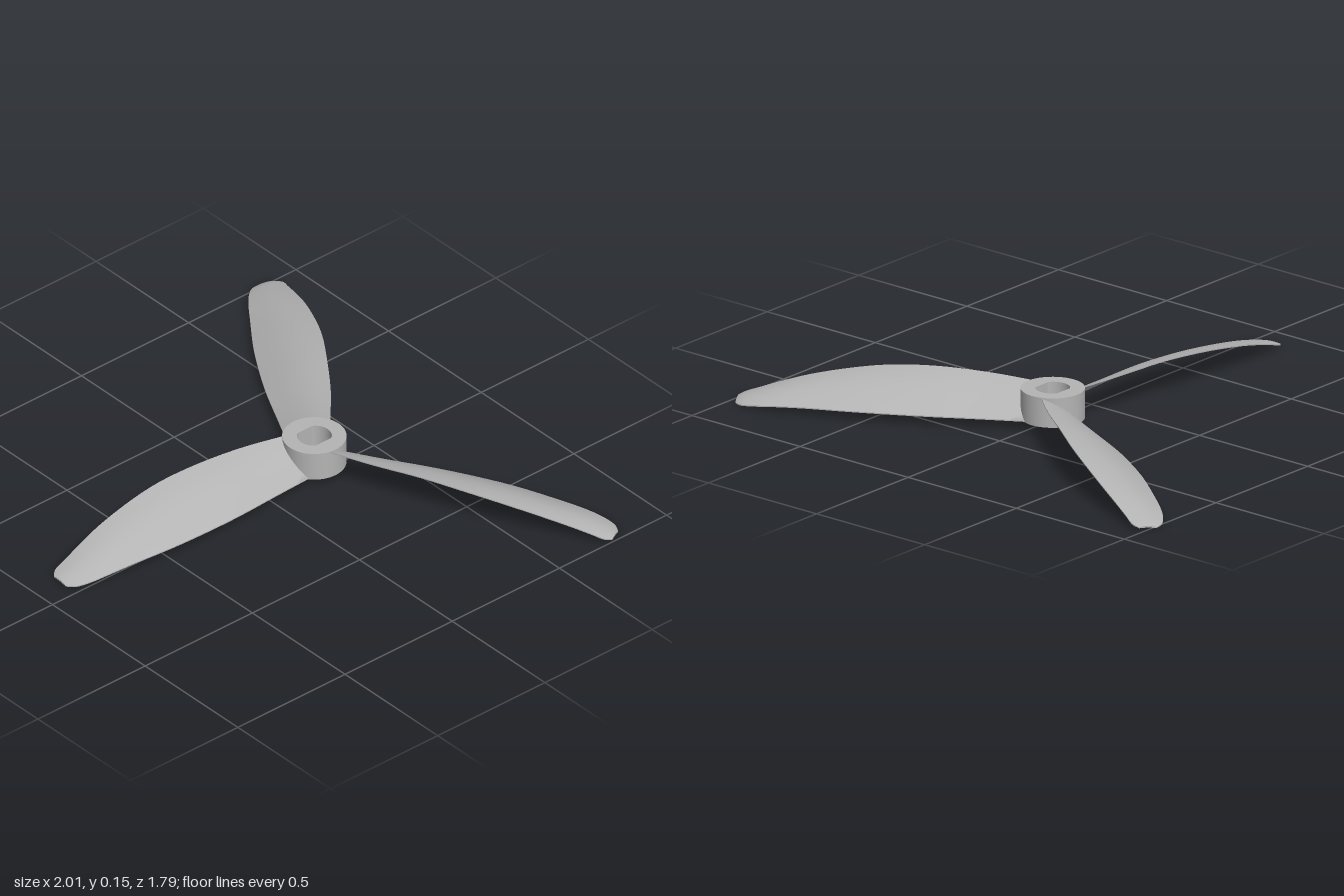
import * as THREE from 'three';
import { toCreasedNormals } from 'three/addons/utils/BufferGeometryUtils.js';

// Blade stations: [distance from hub, high edge x, high edge y, low edge x, low edge y]
const STATIONS = [
  [0.07, -0.07, 0.135, 0.07, 0.033],
  [0.25, -0.107, 0.143, 0.08, 0.035],
  [0.44, -0.13, 0.146, 0.09, 0.036],
  [0.60, -0.144, 0.136, 0.088, 0.035],
  [0.73, -0.144, 0.118, 0.08, 0.033],
  [0.89, -0.134, 0.086, 0.06, 0.028],
  [1.00, -0.120, 0.056, 0.045, 0.021],
  [1.07, -0.110, 0.034, 0.03, 0.013],
  [1.12, -0.103, 0.018, 0.008, 0.006],
  [1.142, -0.085, 0.010, -0.02, 0.003],
];

// Thin, cambered and twisted blade pointing along +z
function bladeGeometry() {
  const high = new THREE.CatmullRomCurve3(STATIONS.map(s => new THREE.Vector3(s[1], s[2], s[0])));
  const low = new THREE.CatmullRomCurve3(STATIONS.map(s => new THREE.Vector3(s[3], s[4], s[0])));
  const rings = 45, chord = 10, loop = 2 * (chord + 1);
  const pos = [], index = [];
  for (let i = 0; i <= rings; i++) {
    const a = high.getPoint(i / rings), b = low.getPoint(i / rings);
    const width = a.distanceTo(b);
    for (let j = 0; j < loop; j++) {
      const top = j <= chord;
      const t = (top ? j : loop - 1 - j) / chord;
      const bow = Math.sin(Math.PI * t);
      const p = a.clone().lerp(b, t);
      // camber lifts both skins; thickness separates them
      p.y += 0.055 * width * bow + (top ? 1 : -1) * (0.002 + 0.02 * width * bow);
      pos.push(p.x, p.y, p.z);
    }
  }
  for (let i = 0; i < rings; i++) {
    for (let j = 0; j < loop; j++) {
      const k = (j + 1) % loop;
      const a = i * loop + j, b = i * loop + k, c = b + loop, d = a + loop;
      index.push(a, d, c, a, c, b);
    }
  }
  // tip cap
  const t0 = rings * loop;
  for (let j = 0; j < chord; j++) {
    const a = t0 + j, b = a + 1, c = t0 + loop - 2 - j, d = c + 1;
    index.push(a, d, c, a, c, b);
  }
  const g = new THREE.BufferGeometry();
  g.setAttribute('position', new THREE.Float32BufferAttribute(pos, 3));
  g.setIndex(index);
  return toCreasedNormals(g, 0.8);
}

// Ring hub with a bore flattened on two sides
function hubGeometry() {
  const shape = new THREE.Shape().absarc(0, 0, 0.114, 0, Math.PI * 2);
  const bore = new THREE.Path();
  const n = 32;
  for (let i = 0; i <= n; i++) {
    const a = -i / n * Math.PI * 2;
    const x = THREE.MathUtils.clamp(0.062 * Math.cos(a), -0.05, 0.05);
    const y = 0.062 * Math.sin(a);
    if (i === 0) bore.moveTo(x, y); else bore.lineTo(x, y);
  }
  shape.holes.push(bore);
  const g = new THREE.ExtrudeGeometry(shape, { depth: 0.11, bevelEnabled: false, curveSegments: 32 });
  g.rotateX(-Math.PI / 2);
  g.translate(0, 0.03, 0);
  return toCreasedNormals(g, 0.6);
}

export function createModel() {
  const grey = new THREE.MeshStandardMaterial({ color: 0xb4b4b4 });
  grey.name = 'light grey plastic';

  const propeller = new THREE.Group();
  propeller.name = 'propeller';
  propeller.position.set(-0.033, 0, -0.25);

  const hub = new THREE.Mesh(hubGeometry(), grey);
  hub.name = 'hub';
  propeller.add(hub);

  const geometry = bladeGeometry();
  ['frontBlade', 'leftBlade', 'rightBlade'].forEach((name, i) => {
    const blade = new THREE.Mesh(geometry, grey);
    blade.name = name;
    blade.rotation.y = i * Math.PI * 2 / 3;
    propeller.add(blade);
  });

  const model = new THREE.Group();
  model.name = 'threeBladePropeller';
  model.add(propeller);
  return model;
}
